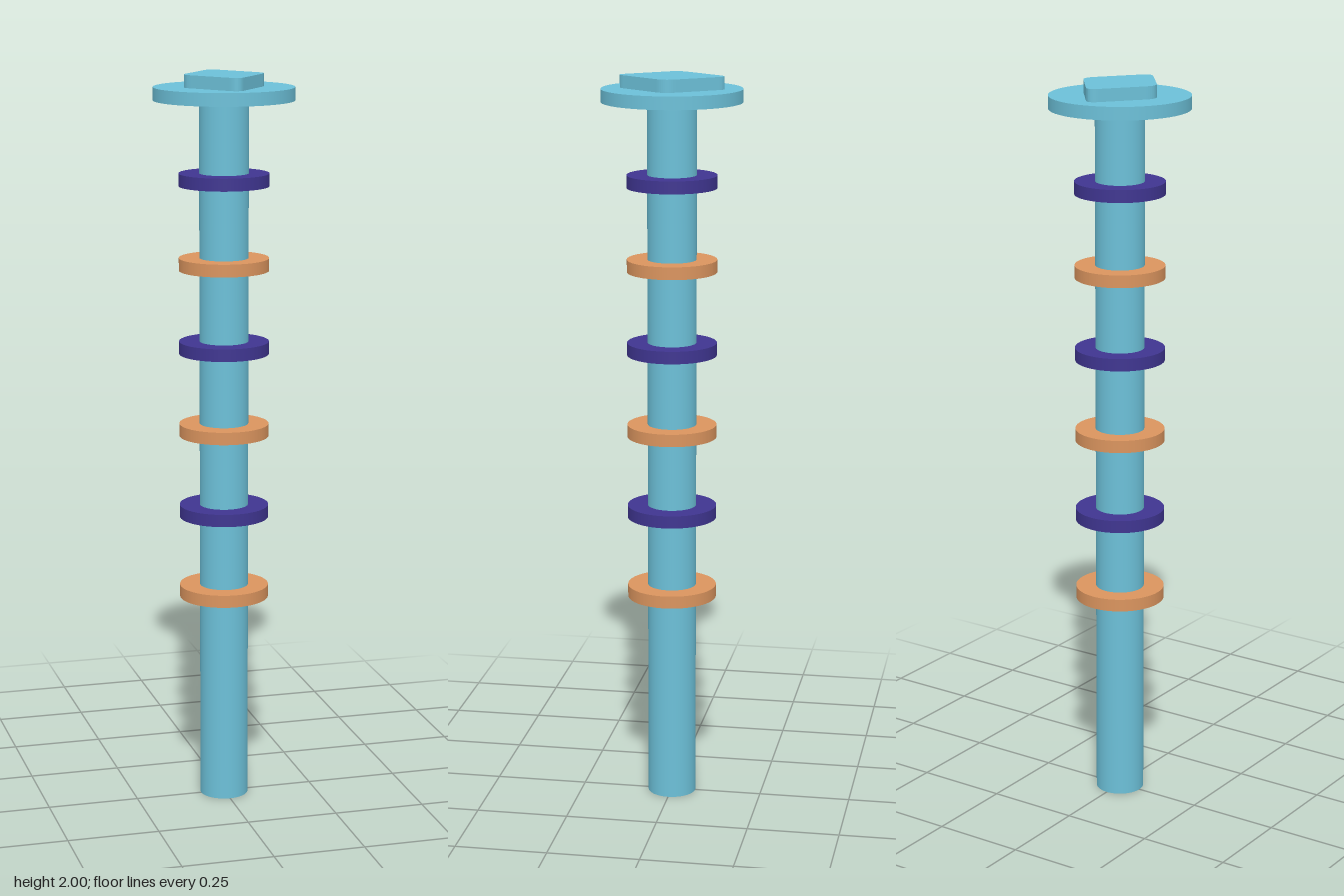
import * as THREE from 'three';

const mat = (color) => new THREE.MeshStandardMaterial({ color });

export function createModel() {
  const model = new THREE.Group();
  model.name = 'ringedPin';
  const teal = mat(0x6cc0d8), purple = mat(0x3f3590), orange = mat(0xda945e);

  const add = (name, geometry, material, y) => {
    const mesh = new THREE.Mesh(geometry, material);
    mesh.name = name;
    mesh.position.y = y;
    model.add(mesh);
    return mesh;
  };
  const disc = (name, radius, bottom, top, material) =>
    add(name, new THREE.CylinderGeometry(radius, radius, top - bottom, 64), material, (top + bottom) / 2);

  // Shaft and head flange
  disc('shaft', 0.066, 0, 1.932, teal);
  disc('headFlange', 0.188, 1.931, 1.966, teal);

  // Evenly spaced collars in alternating colours
  const collarShape = new THREE.Shape().absarc(0, 0, 0.121, 0, Math.PI * 2);
  collarShape.holes.push(new THREE.Path().absarc(0, 0, 0.065, 0, Math.PI * 2, true));
  const collar = new THREE.ExtrudeGeometry(collarShape, { depth: 0.034, bevelEnabled: false, curveSegments: 64 });
  collar.rotateX(-Math.PI / 2);
  for (let i = 0; i < 6; i++) {
    add(`collar${i + 1}`, collar, i % 2 ? purple : orange, 0.571 + i * 0.2266);
  }

  // Raised diamond key with rounded corners
  const w = 0.118, h = 0.152;   // sharp corners
  const sx = 0.098, sy = 0.0257; // side rounding starts
  const tx = 0.0195, ty = 0.127; // tip rounding starts
  const diamond = new THREE.Shape();
  diamond.moveTo(sx, -sy);
  diamond.quadraticCurveTo(w, 0, sx, sy);
  diamond.lineTo(tx, ty);
  diamond.quadraticCurveTo(0, h, -tx, ty);
  diamond.lineTo(-sx, sy);
  diamond.quadraticCurveTo(-w, 0, -sx, -sy);
  diamond.lineTo(-tx, -ty);
  diamond.quadraticCurveTo(0, -h, tx, -ty);
  diamond.closePath();
  const key = new THREE.ExtrudeGeometry(diamond, { depth: 0.035, bevelEnabled: false, curveSegments: 10 });
  key.rotateX(-Math.PI / 2);
  add('diamondKey', key, teal, 1.965);

  return model;
}
